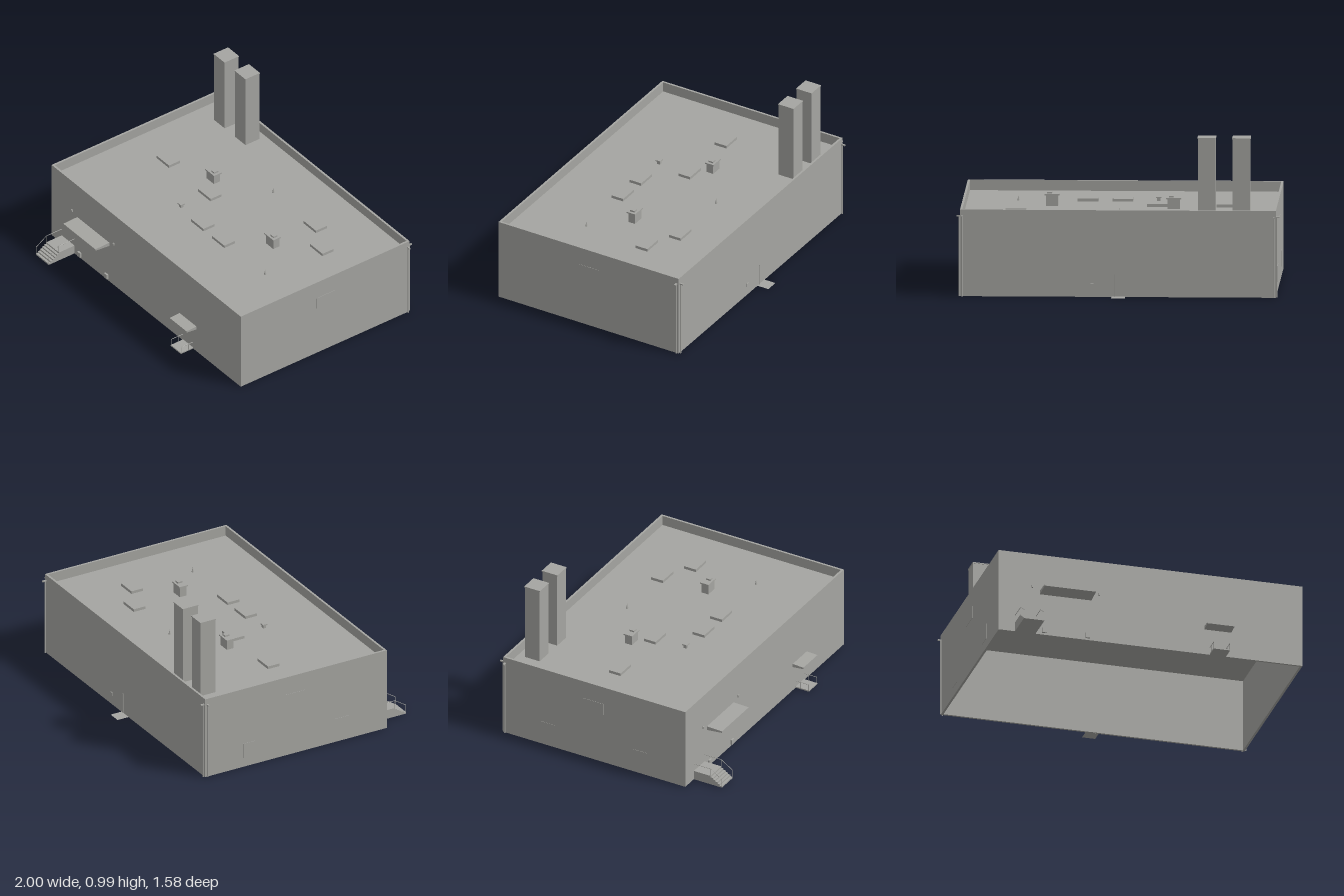
import * as THREE from 'three';

export function createModel() {
  const model = new THREE.Group();
  const grey = new THREE.MeshStandardMaterial({ color: 0xa5a5a1, side: THREE.DoubleSide });
  grey.name = 'concrete grey';

  const add = (name, geometry) => {
    const mesh = new THREE.Mesh(geometry, grey);
    mesh.name = name;
    model.add(mesh);
    return mesh;
  };
  // Box given by its ranges
  const box = (name, x0, x1, y0, y1, z0, z1) =>
    add(name, new THREE.BoxGeometry(x1 - x0, y1 - y0, z1 - z0)
      .translate((x0 + x1) / 2, (y0 + y1) / 2, (z0 + z1) / 2));
  // Side profile in (z, y), extruded from x0 to x1
  const profile = (name, points, x0, x1) => {
    const shape = new THREE.Shape(points.map(([z, y]) => new THREE.Vector2(-z, y)));
    const g = new THREE.ExtrudeGeometry(shape, { depth: x1 - x0, bevelEnabled: false });
    return add(name, g.rotateY(Math.PI / 2).translate(x0, 0, 0));
  };
  // Thin round bar between two points
  const bar = (name, a, b, r) => {
    const path = new THREE.LineCurve3(new THREE.Vector3(...a), new THREE.Vector3(...b));
    return add(name, new THREE.TubeGeometry(path, 1, r, 8));
  };

  const W = 0.975, FRONT = 0.59, BACK = -0.71, TOP = 0.54, ROOF = 0.475, T = 0.014;

  // Hollow walls, open underneath, rising past the roof as a parapet
  const rect = (C, x, z0, z1) => new C([[-x, z0], [x, z0], [x, z1], [-x, z1]]
    .map(([a, b]) => new THREE.Vector2(a, -b)));
  const plan = rect(THREE.Shape, W, FRONT, BACK);
  plan.holes.push(rect(THREE.Path, W - T, FRONT - T, BACK + T));
  add('walls', new THREE.ExtrudeGeometry(plan, { depth: TOP, bevelEnabled: false }).rotateX(-Math.PI / 2));
  box('roof', -W + T, W - T, ROOF - 0.004, ROOF, BACK + T, FRONT - T);

  // Chimneys with slim caps
  for (const x of [-0.76, -0.545]) {
    box('chimney', x - 0.054, x + 0.054, ROOF, 0.98, -0.648, -0.542);
    box('chimneyCap', x - 0.057, x + 0.057, 0.978, 0.985, -0.651, -0.539);
  }

  // Skylights
  for (const [x, z] of [[-0.65, -0.065], [-0.22, -0.065], [0, 0.155], [0.215, 0.155], [0.43, -0.39], [0.645, -0.28]])
    box('skylight', x - 0.064, x + 0.064, ROOF, ROOF + 0.018, z - 0.042, z + 0.042);

  // Roof ventilation units
  for (const [x, z, top] of [[-0.325, -0.17, 0.545], [0.43, -0.063, 0.55]]) {
    box('ventUnit', x - 0.038, x + 0.038, ROOF, top - 0.008, z - 0.024, z + 0.024);
    box('ventLid', x - 0.047, x + 0.047, top - 0.008, top, z - 0.03, z + 0.03);
    box('ventCowl', x, x + 0.03, top, top + 0.01, z - 0.016, z + 0.016);
  }
  box('smallVent', -0.23, -0.21, ROOF, ROOF + 0.02, 0.145, 0.165);
  box('smallVentLid', -0.236, -0.204, ROOF + 0.02, ROOF + 0.028, 0.139, 0.171);
  for (const [x, z] of [[0, -0.39], [0.645, 0.155]])
    add('roofSpike', new THREE.ConeGeometry(0.008, 0.035, 8)).position.set(x, ROOF + 0.0175, z);

  // Tapered entrance canopies
  const canopy = (x0, x1, y0, y1, z1) => profile('canopy',
    [[FRONT, y0], [z1, y1 - 0.014], [z1, y1 - 0.003], [FRONT, y1]], x0, x1);
  canopy(-0.71, -0.38, 0.272, 0.297, 0.698);
  canopy(0.345, 0.518, 0.168, 0.19, 0.667);

  // Stepped entrance
  const steps = [[FRONT, 0], [0.79, 0]];
  for (let i = 0; i < 6; i++) {
    const z = 0.79 - i * 0.016, y = (i + 1) * 0.01;
    steps.push([z, y], [z - 0.016, y]);
  }
  steps.push([FRONT, 0.06]);
  profile('entranceSteps', steps, -0.87, -0.738);
  for (const x of [-0.868, -0.74]) {
    const r = 0.0018;
    bar('handrail', [x, 0.11, FRONT], [x, 0.11, 0.71], r);
    bar('handrailSlope', [x, 0.11, 0.71], [x, 0.06, 0.788], r);
    bar('railPost', [x, 0.06, 0.71], [x, 0.11, 0.71], r);
    bar('railPost', [x, 0.01, 0.788], [x, 0.06, 0.788], r);
  }

  // Low landing with side rails
  box('landing', 0.38, 0.484, 0, 0.008, FRONT, 0.685);
  for (const x of [0.381, 0.483]) {
    bar('landingRail', [x, 0.05, FRONT], [x, 0.05, 0.682], 0.0018);
    for (const z of [0.625, 0.682]) bar('landingPost', [x, 0, z], [x, 0.05, z], 0.0018);
  }

  // Wall boxes and lamps on the front
  for (const x of [-0.682, -0.405]) box('wallBox', x - 0.014, x + 0.014, 0.012, 0.045, FRONT, FRONT + 0.012);
  for (const x of [-0.76, -0.33]) box('wallLamp', x - 0.005, x + 0.005, 0.31, 0.325, FRONT, FRONT + 0.009);

  // Back door pad, conduit and meter box
  const pad = new THREE.Shape([[-0.045, 0.79], [0.04, 0.79], [0.04, 0.71], [-0.045, 0.71]]
    .map(p => new THREE.Vector2(...p)));
  add('backPad', new THREE.ShapeGeometry(pad).rotateX(-Math.PI / 2).translate(0, 0.002, 0));
  bar('conduit', [0.02, 0, BACK - 0.003], [0.02, 0.14, BACK - 0.003], 0.003);
  box('meterBox', 0.15, 0.17, 0.06, 0.085, BACK - 0.006, BACK);

  // Drainpipes and spouts at the rear corners, window and door plates on the sides
  for (const s of [-1, 1]) {
    bar('drainpipe', [s * 0.962, 0, BACK - 0.006], [s * 0.962, 0.5, BACK - 0.006], 0.005);
    bar('drainpipe', [s * (W + 0.005), 0, -0.695], [s * (W + 0.005), 0.5, -0.695], 0.005);
    box('backSpout', s * 0.962 - 0.005, s * 0.962 + 0.005, 0.496, 0.504, BACK - 0.026, BACK);
    const x = s * (W + 0.011);
    box('sideSpout', x - 0.012, x + 0.012, 0.496, 0.504, -0.70, -0.69);
    const plates = [[-0.065, 0.38, 0.07, 0.04]];
    if (s < 0) plates.push([0.27, 0.11, 0.048, 0.05], [-0.39, 0.11, 0.048, 0.05]);
    for (const [z, y, hz, hy] of plates)
      box('sideWindow', s * W - 0.002, s * W + 0.002, y - hy, y + hy, z - hz, z + hz);
  }
  return model;
}
